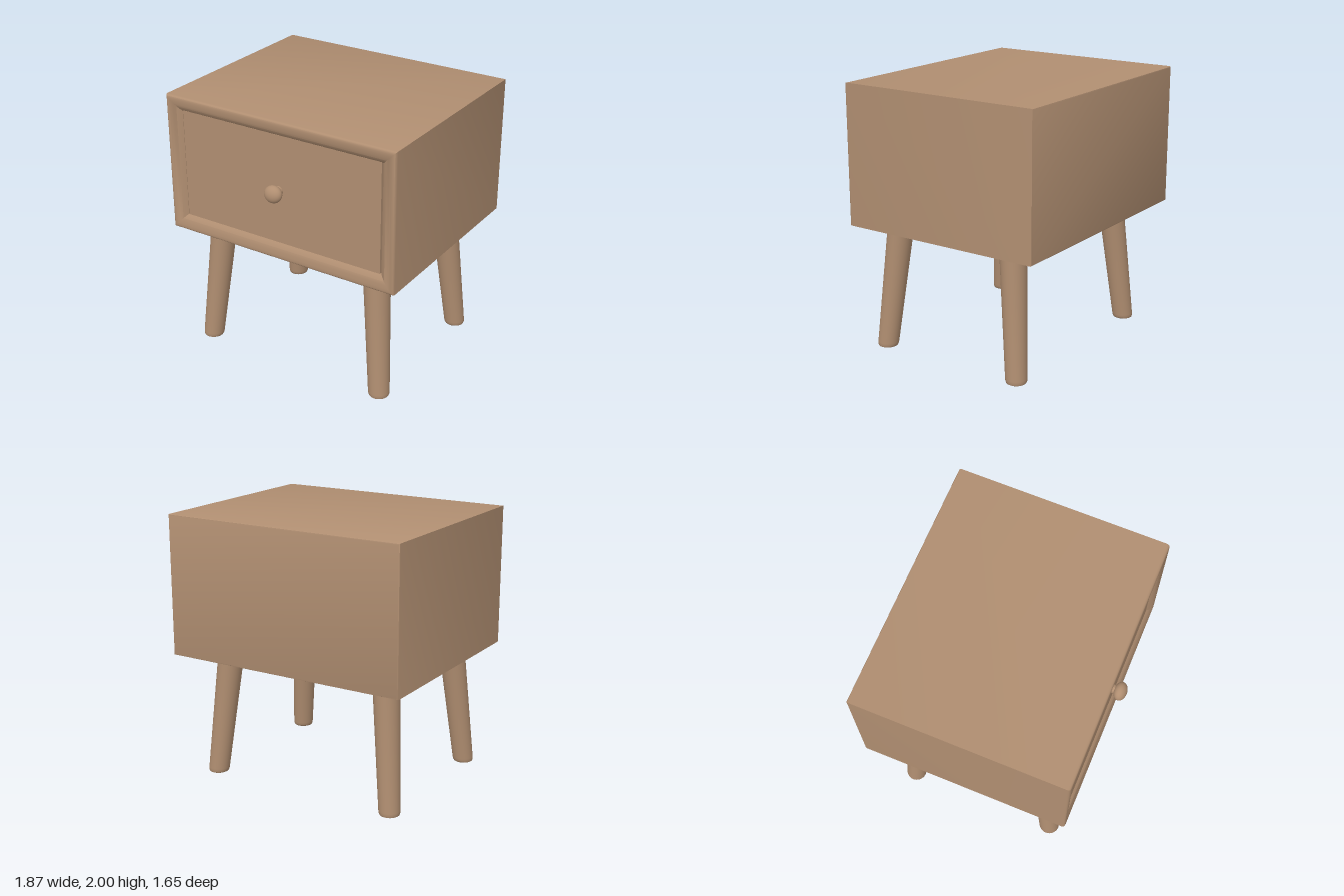
import * as THREE from 'three';
import { toCreasedNormals } from 'three/addons/utils/BufferGeometryUtils.js';

const HALF_W = 0.935, BOTTOM = 0.96, TOP = 2.0, BACK = -0.825, FRONT = 0.745;

// Joins nested rectangles, each given as [inset, z] and ordered back to front to inside
function loftRectangles(rows, capFirst, capLast) {
  const rings = rows.map(([d, z]) => [
    [-HALF_W + d, BOTTOM + d, z], [HALF_W - d, BOTTOM + d, z],
    [HALF_W - d, TOP - d, z], [-HALF_W + d, TOP - d, z],
  ]);
  const pos = [];
  const quad = (a, b, c, d) => pos.push(...a, ...b, ...c, ...a, ...c, ...d);
  for (let i = 0; i < rings.length - 1; i++) {
    for (let k = 0; k < 4; k++) {
      const n = (k + 1) % 4;
      quad(rings[i][k], rings[i][n], rings[i + 1][n], rings[i + 1][k]);
    }
  }
  if (capFirst) quad(...[...rings[0]].reverse());
  if (capLast) quad(...rings[rings.length - 1]);
  const geo = new THREE.BufferGeometry();
  geo.setAttribute('position', new THREE.Float32BufferAttribute(pos, 3));
  return toCreasedNormals(geo, 0.6);
}

export function createModel() {
  const group = new THREE.Group();
  const wood = new THREE.MeshStandardMaterial({ color: 0xb08e71 });
  wood.name = 'warm wood';
  const add = (name, geo, parent = group) => {
    const mesh = new THREE.Mesh(geo, wood);
    mesh.name = name;
    parent.add(mesh);
    return mesh;
  };

  // Cabinet shell with a rounded front frame that slopes in to the drawer opening
  add('cabinet', loftRectangles([
    [0.01, BACK], [0.003, BACK + 0.003], [0, BACK + 0.01],
    [0, FRONT - 0.022], [0.003, FRONT - 0.01], [0.01, FRONT - 0.003], [0.022, FRONT],
    [0.04, FRONT - 0.002], [0.06, FRONT - 0.008], [0.08, FRONT - 0.017],
    [0.1, FRONT - 0.029], [0.115, FRONT - 0.042],
    [0.118, FRONT - 0.1],
  ], true, true));

  // Drawer front, set back with a narrow gap all round
  const drawer = add('drawerFront', new THREE.BoxGeometry(1.622, 0.814, 0.07));
  drawer.position.set(0, (BOTTOM + TOP) / 2 + 0.005, 0.675);

  // Oval knob on a short stem
  const knob = new THREE.Group();
  knob.name = 'knob';
  knob.position.set(0, 1.48, 0.777);
  group.add(knob);
  const head = add('knobHead', new THREE.SphereGeometry(1, 32, 20), knob);
  head.scale.set(0.069, 0.062, 0.046);
  head.rotation.x = -0.2;
  const stem = add('knobStem', new THREE.CylinderGeometry(0.03, 0.035, 0.09, 20), knob);
  stem.rotation.x = Math.PI / 2;
  stem.position.z = -0.045;

  // Tapered legs, splayed outward by leaning a turned profile
  const profile = [
    [0, 0.005], [0.062, 0.005], [0.072, 0.01], [0.077, 0.022], [0.078, 0.04],
    [0.097, 0.92], [0.1, 0.94], [0.106, 0.951], [0.118, 0.965],
  ].map(([r, y]) => new THREE.Vector2(r, y));
  for (const [sx, sz, name] of [
    [1, 1, 'frontLeftLeg'], [-1, 1, 'frontRightLeg'],
    [1, -1, 'backLeftLeg'], [-1, -1, 'backRightLeg'],
  ]) {
    const geo = new THREE.LatheGeometry(profile, 32);
    const p = geo.attributes.position;
    for (let i = 0; i < p.count; i++) {
      const t = p.getY(i) / BOTTOM;
      p.setX(i, p.getX(i) + sx * (0.747 - 0.087 * t));
      p.setZ(i, p.getZ(i) + sz * (0.58 - 0.087 * t));
    }
    add(name, toCreasedNormals(geo, 0.7));
  }
  return group;
}
